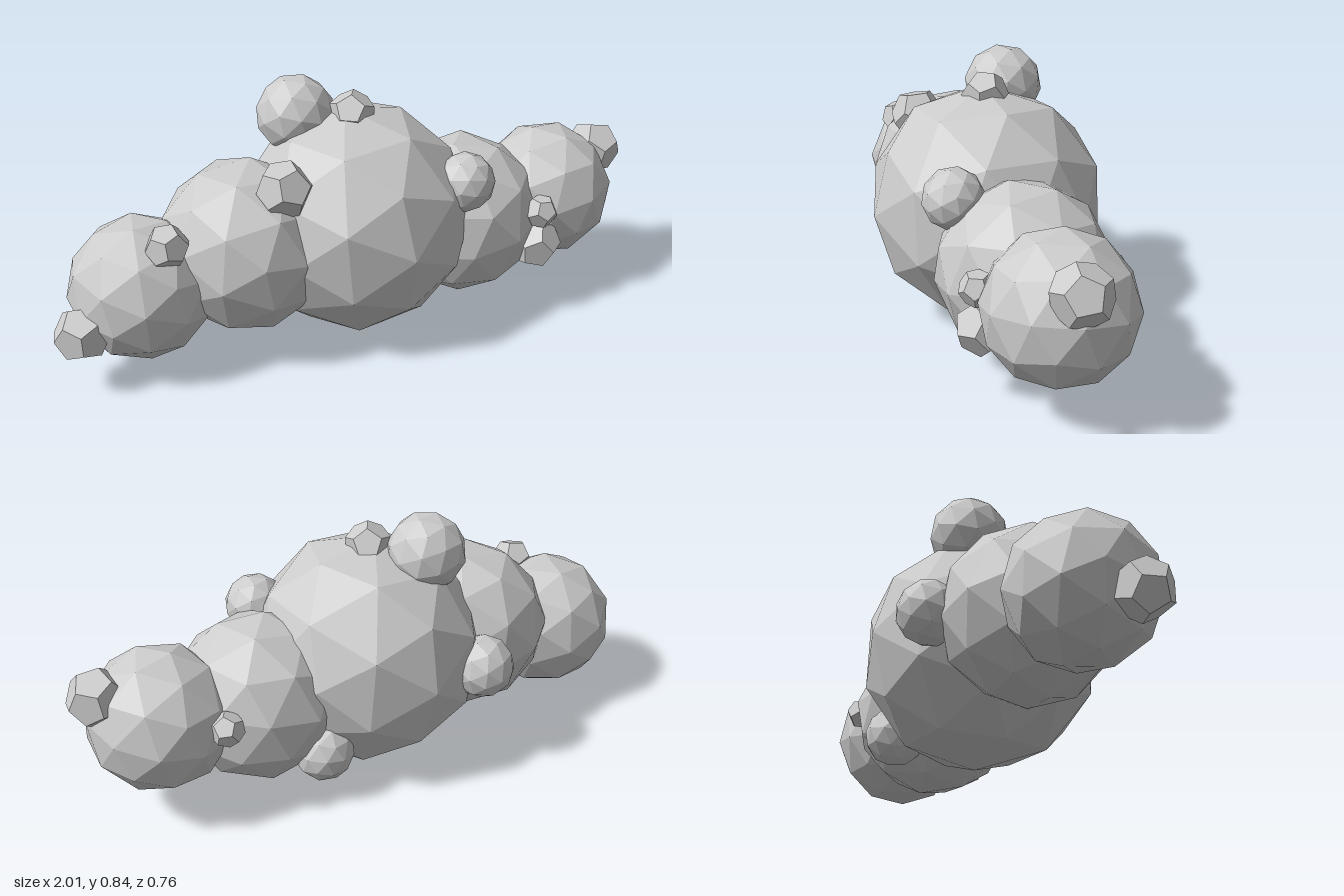
import * as THREE from 'three';

export function createModel() {
  const group = new THREE.Group();
  group.name = 'cloud';
  const material = new THREE.MeshStandardMaterial({ color: 0xcccccc, flatShading: true });

  // One faceted ball of the cloud
  function puff(name, Geometry, detail, [x, y, z, radius], rotation) {
    const mesh = new THREE.Mesh(new Geometry(radius, detail), material);
    mesh.name = name;
    mesh.position.set(x, y, z);
    mesh.rotation.set(...rotation);
    group.add(mesh);
  }

  // Large body puffs: x, y, z, radius
  puff('centrePuff', THREE.IcosahedronGeometry, 1, [0.01, 0.375, 0, 0.38], [0, 0.1, 0.09]);
  const body = {
    rightInnerPuff: [-0.37, 0.35, 0, 0.28],
    leftInnerPuff: [0.4, 0.307, 0, 0.272],
    rightOuterPuff: [-0.71, 0.27, -0.005, 0.23],
    leftOuterPuff: [0.73, 0.33, 0, 0.23],
  };

  // Medium round puffs on the surface
  const medium = {
    topPuff: [-0.148, 0.715, -0.105, 0.127],
    frontPuff: [0.31, 0.515, 0.19, 0.097],
    backRightPuff: [-0.26, 0.355, -0.28, 0.103],
    backLeftPuff: [0.27, 0.16, -0.19, 0.098],
  };

  // Small coarse nubs
  const nubs = {
    topNub: [0, 0.73, 0, 0.076],
    frontRightNub: [-0.287, 0.587, 0.15, 0.09],
    outerRightNub: [-0.655, 0.46, 0.125, 0.07],
    rightTipNub: [-0.92, 0.19, 0.065, 0.09],
    leftTipNub: [0.915, 0.455, 0.008, 0.093],
    lowerLeftNub: [0.593, 0.23, 0.18, 0.087],
    frontLeftNub: [0.597, 0.355, 0.2, 0.056],
    rearLeftNub: [0.595, 0.357, -0.2, 0.055],
  };

  // Each puff gets its own tilt so the facets differ
  Object.entries({ ...body, ...medium }).forEach(([name, spec], i) =>
    puff(name, THREE.IcosahedronGeometry, 1, spec, [0.4 + i * 0.7, i * 1.1, 0.2 + i * 0.5]));
  Object.entries(nubs).forEach(([name, spec], i) =>
    puff(name, THREE.DodecahedronGeometry, 0, spec, [0.3 + i * 0.9, i * 0.6, 0.5 + i * 0.4]));

  return group;
}
